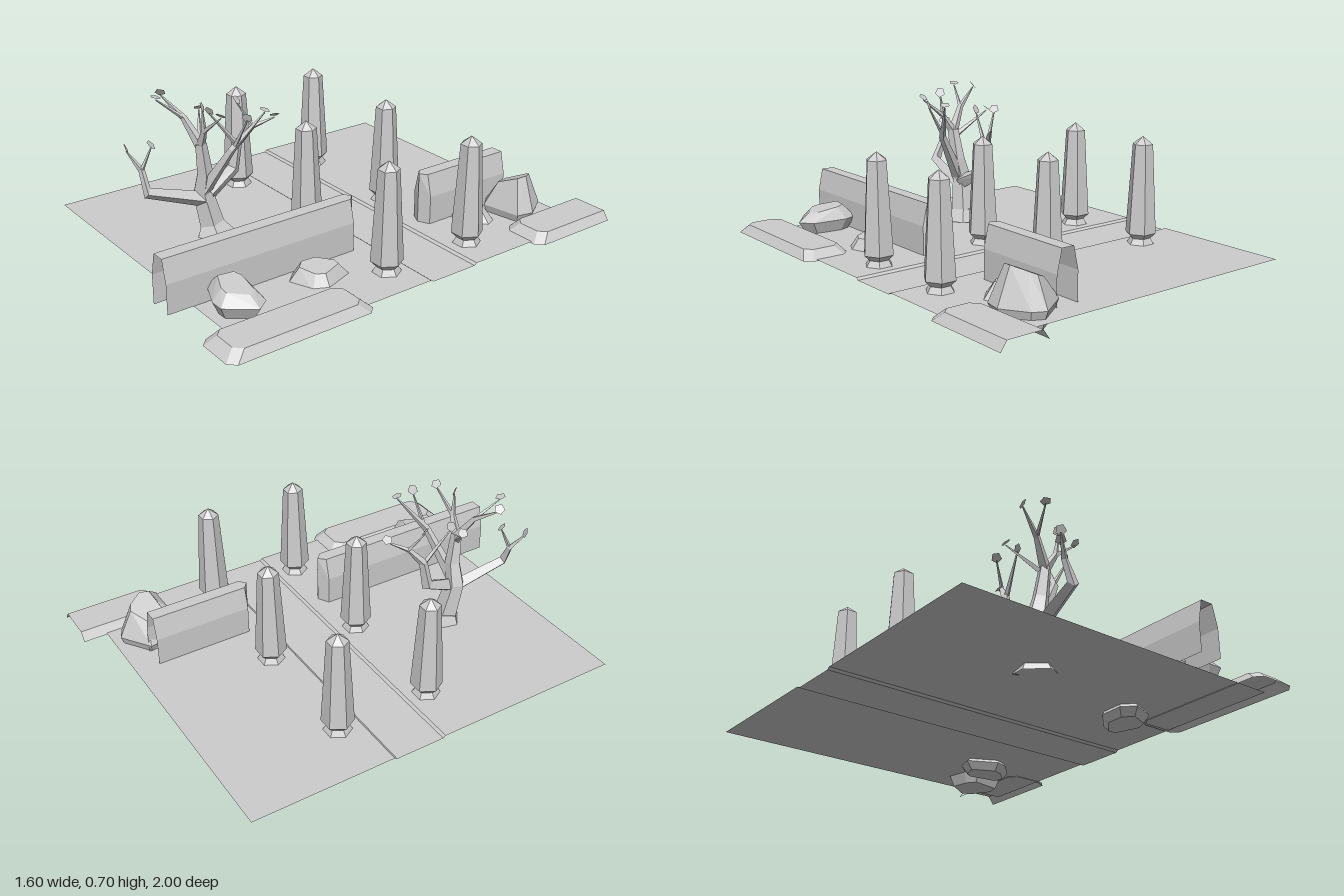
import * as THREE from 'three';
import { ConvexGeometry } from 'three/addons/geometries/ConvexGeometry.js';

const stone = new THREE.MeshStandardMaterial({ color: 0xcccccc, flatShading: true, side: THREE.DoubleSide });
stone.name = 'paleGrey';

function add(group, name, geometry) {
  const mesh = new THREE.Mesh(geometry, stone);
  mesh.name = name;
  group.add(mesh);
  return mesh;
}

// Skin a list of equal-length rings of points
function loft(rings, closed, capEnd = false) {
  const n = rings[0].length, index = [];
  for (let i = 0; i < rings.length - 1; i++) {
    for (let j = 0; j < (closed ? n : n - 1); j++) {
      const a = i * n + j, b = i * n + (j + 1) % n;
      index.push(a, b, a + n, b, b + n, a + n);
    }
  }
  const last = (rings.length - 1) * n;
  if (capEnd) for (let j = 1; j < n - 1; j++) index.push(last, last + j, last + j + 1);
  const g = new THREE.BufferGeometry();
  g.setAttribute('position', new THREE.Float32BufferAttribute(rings.flat(2), 3));
  g.setIndex(index);
  const flat = g.toNonIndexed();
  flat.computeVertexNormals();
  return flat;
}

// Limb through the points, thinning from the first radius to the last
function limb(points, r0, r1, sides) {
  const v = points.map((p) => new THREE.Vector3(...p));
  const ref = new THREE.Vector3(0.9, 0.05, 0.3);
  return loft(v.map((c, i) => {
    const dir = v[Math.min(i + 1, v.length - 1)].clone().sub(v[Math.max(i - 1, 0)]).normalize();
    const w = new THREE.Vector3().crossVectors(dir, ref).normalize();
    const u = new THREE.Vector3().crossVectors(w, dir);
    const r = THREE.MathUtils.lerp(r0, r1, i / (v.length - 1));
    return Array.from({ length: sides }, (_, j) => {
      const a = (-j / sides) * Math.PI * 2;
      return c.clone().addScaledVector(u, r * Math.cos(a)).addScaledVector(w, r * Math.sin(a)).toArray();
    });
  }), true, true);
}

// Boulder: a jittered seven-sided outline, widest at the waist, with a tilted top
function rock(x, z, rx, rz, bottom, waist, top, topScale, tilt, seed) {
  const pts = [];
  for (let i = 0; i < 7; i++) {
    const a = (i / 7) * Math.PI * 2 + 0.25 * Math.sin(seed * 3 + i * 2.3);
    const k = 1 + 0.08 * Math.sin(seed * 5 + i * 1.9);
    const dx = rx * k * Math.cos(a), dz = rz * k * Math.sin(a);
    for (const [y, s, t] of [[bottom, 0.75, 0], [waist, 1, 0], [top, topScale, tilt]]) {
      pts.push(new THREE.Vector3(x + dx * s, y + dx * t, z + dz * s));
    }
  }
  return new ConvexGeometry(pts);
}

// Hollow wall with sloped shoulders and a pointed end at the path
function wall(zOpen, zEnd, zTip) {
  const side = [[0.05, 0.053], [0.18, 0.053], [0.28, 0.03]];
  const ring = (z, k) => [
    ...side.map(([y, w]) => [0.302 - w * k, y, z]),
    ...side.toReversed().map(([y, w]) => [0.302 + w * k, y, z])];
  const rings = [ring(zOpen, 1), ring(zEnd, 1), ring(zTip, 0)];
  return loft(zOpen > zTip ? rings.reverse() : rings, false);
}

// Bevelled kerb slab; a cut one keeps its far end straight and open
function slab(z0, z1, cut) {
  const c = 0.032, k = cut ? 0 : c;
  const rings = [[0.045, 0, 0], [0.085, 0.028, 0.045]].map(([y, ix, iz]) => {
    const a = 0.58 + ix, b = 0.8 - ix, far = cut ? z0 : z0 + iz, near = z1 - iz;
    const front = [[a, y, far + k], [a, y, near - c], [a + c, y, near], [b - c, y, near], [b, y, near - c], [b, y, far + k]];
    return cut ? front : [...front, [b - c, y, far], [a + c, y, far]];
  });
  return loft(rings, !cut, true);
}

export function createModel() {
  const model = new THREE.Group();

  // Ground sheet with a shallow sunken path
  const section = [[-0.89, 0.05], [-0.24, 0.05], [-0.228, 0.041], [0, 0.041], [0.012, 0.05], [0.885, 0.05]];
  add(model, 'ground', loft([0.75, -0.8].map((x) => section.map(([z, y]) => [x, y, z])).reverse(), false));

  // Six hexagonal obelisks lining the path
  const profile = [[0.062, 0.05], [0.046, 0.076], [0.07, 0.1], [0.046, 0.505], [0, 0.54]]
    .map(([r, y]) => new THREE.Vector2(r, y));
  const obelisk = new THREE.LatheGeometry(profile, 6, Math.PI / 6);
  for (const x of [-0.53, 0.025, 0.58]) {
    for (const z of [-0.34, 0.105]) add(model, 'obelisk', obelisk).position.set(x, 0, z);
  }

  add(model, 'frontWall', wall(1, 0.1, 0.07));
  add(model, 'backWall', wall(-0.78, -0.33, -0.305));
  add(model, 'frontSlab', slab(0.33, 1, false));
  add(model, 'backSlab', slab(-1, -0.56, true));

  // Boulders
  add(model, 'tallRock', rock(0.47, -0.73, 0.14, 0.125, 0, 0.085, 0.21, 0.55, 0.25, 1));
  add(model, 'lowRock', rock(0.39, -0.53, 0.145, 0.09, 0, 0.035, 0.1, 0.5, 0.1, 2));
  add(model, 'middleRock', rock(0.455, 0.36, 0.1, 0.14, 0, 0.035, 0.105, 0.6, -0.08, 3));
  add(model, 'frontRock', rock(0.46, 0.76, 0.14, 0.11, 0.05, 0.105, 0.155, 0.6, -0.08, 4));

  // Bare tree: flared trunk, forking limbs and a leaf on every tip
  const tree = new THREE.Group();
  tree.name = 'tree';
  model.add(tree);
  add(tree, 'trunkFlare', limb([[-0.14, 0.04, 0.48], [-0.15, 0.1, 0.49]], 0.095, 0.056, 5));
  add(tree, 'trunk', limb([[-0.15, 0.1, 0.49], [-0.165, 0.25, 0.52], [-0.14, 0.35, 0.52], [-0.13, 0.49, 0.54]], 0.056, 0.026, 5));

  const leaf = new THREE.CircleGeometry(0.024, 5);
  let count = 0;
  const branch = (radius, ...points) => {
    add(tree, 'branch', limb(points, radius, 0.003, 4));
    const mesh = add(tree, 'leaf', leaf);
    mesh.position.set(...points.at(-1));
    mesh.position.y += 0.012;
    mesh.rotation.set(0.9 + 0.5 * Math.sin(count * 2.1), 0.7 * Math.cos(count * 1.7), count * 1.3);
    count++;
  };
  // Crown
  branch(0.025, [-0.13, 0.48, 0.54], [-0.2, 0.59, 0.575], [-0.31, 0.67, 0.62]);
  branch(0.01, [-0.2, 0.59, 0.575], [-0.24, 0.68, 0.68]);
  branch(0.022, [-0.13, 0.48, 0.54], [-0.08, 0.56, 0.55], [-0.07, 0.66, 0.56]);
  branch(0.012, [-0.08, 0.56, 0.55], [0.04, 0.65, 0.54]);
  branch(0.014, [-0.15, 0.47, 0.53], [-0.27, 0.58, 0.46]);
  // Limb towards the front
  branch(0.036, [-0.15, 0.22, 0.52], [-0.19, 0.3, 0.77], [-0.23, 0.39, 0.77], [-0.28, 0.47, 0.81]);
  branch(0.01, [-0.23, 0.39, 0.77], [-0.21, 0.49, 0.73]);
  // Limb towards the path
  branch(0.036, [-0.15, 0.24, 0.5], [-0.18, 0.31, 0.35], [-0.17, 0.43, 0.33], [-0.14, 0.5, 0.27], [-0.09, 0.54, 0.19]);
  branch(0.012, [-0.17, 0.43, 0.34], [-0.2, 0.58, 0.45]);
  branch(0.009, [-0.14, 0.5, 0.27], [-0.2, 0.6, 0.31]);
  // Limb towards the walls
  branch(0.03, [-0.14, 0.27, 0.52], [-0.01, 0.48, 0.46], [0.06, 0.64, 0.34]);
  branch(0.01, [0, 0.5, 0.45], [0.08, 0.63, 0.44]);

  return model;
}
